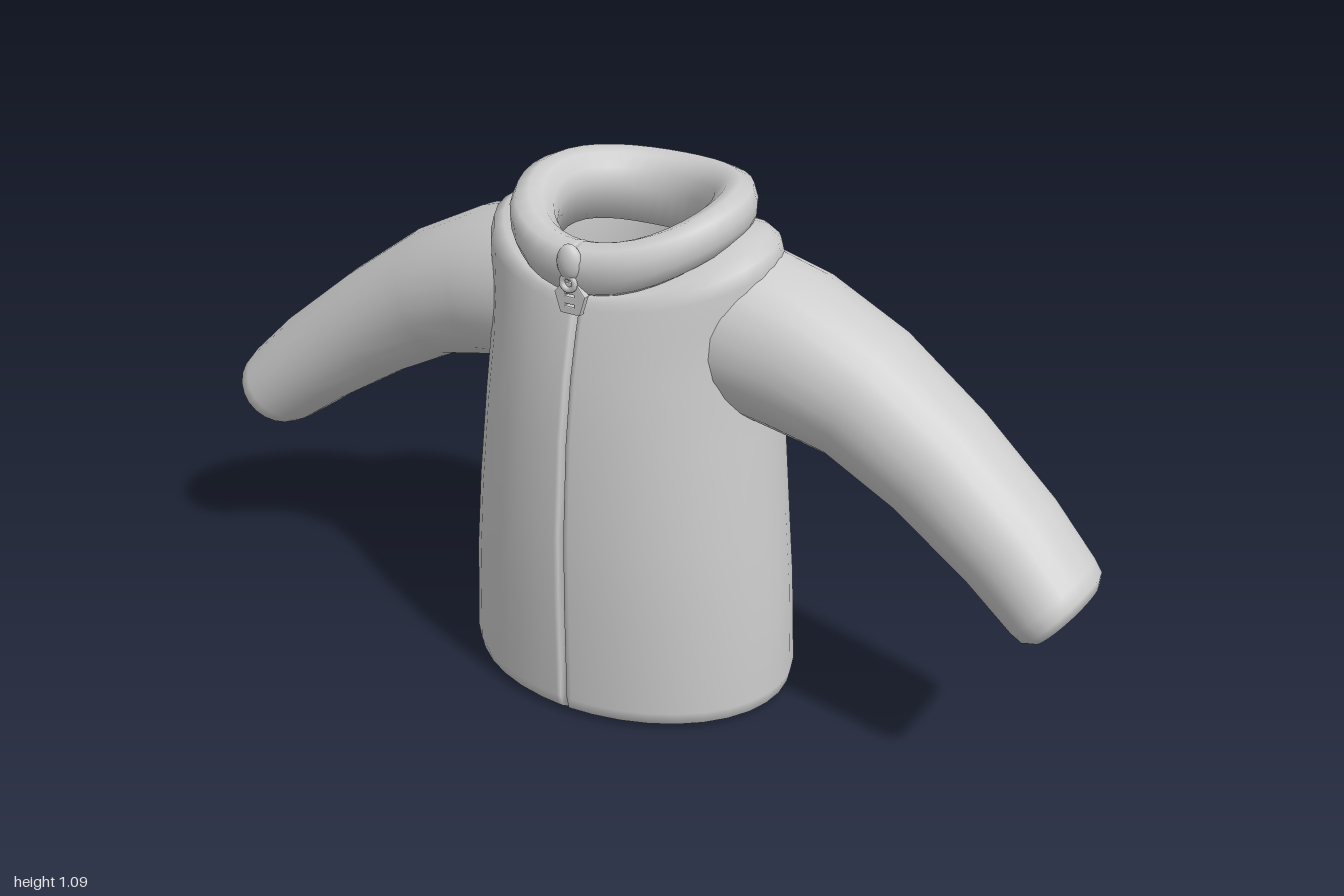
import * as THREE from 'three';

const material = new THREE.MeshStandardMaterial({ color: 0xcccccc, side: THREE.DoubleSide });

function addMesh(parent, name, geometry, x = 0, y = 0, z = 0) {
  const mesh = new THREE.Mesh(geometry, material);
  mesh.name = name;
  mesh.position.set(x, y, z);
  parent.add(mesh);
  return mesh;
}

// Skins a list of rings (arrays of [x, y, z]); closed joins last ring to first.
function loft(rings, closed = false) {
  const n = rings[0].length;
  const index = [];
  const last = closed ? rings.length : rings.length - 1;
  for (let i = 0; i < last; i++) {
    const k = (i + 1) % rings.length;
    for (let j = 0; j < n; j++) {
      const m = (j + 1) % n;
      const a = i * n + j, b = i * n + m, c = k * n + m, d = k * n + j;
      index.push(a, b, c, a, c, d);
    }
  }
  const geometry = new THREE.BufferGeometry();
  geometry.setAttribute('position', new THREE.Float32BufferAttribute(rings.flat(2), 3));
  geometry.setIndex(index);
  geometry.computeVertexNormals();
  return geometry;
}

// Angles round the torso, with extra ones for the zip groove at the front.
const torsoAngles = [0, 0.02, 0.05];
for (let i = 1; i < 36; i++) torsoAngles.push((i / 36) * Math.PI * 2);
torsoAngles.push(Math.PI * 2 - 0.05, Math.PI * 2 - 0.02);

// Ring with its own half width, front and back depth, and front/side/back heights.
function torsoRing([rx, zFront, zBack, yFront, ySide = yFront, yBack = yFront, groove = 0]) {
  return torsoAngles.map((angle, j) => {
    const s = Math.cos(angle);
    const y = ySide + (s * (yFront - yBack)) / 2 + s * s * ((yFront + yBack) / 2 - ySide);
    const z = s * (s > 0 ? zFront : zBack) - (j === 0 ? groove : 0);
    return [rx * Math.sin(angle), y, z];
  });
}

// Sleeve ring: centre, half height, half depth, tilt, and saddle depth.
function sleeveRing([cx, cy, cz, h, rz, tilt, saddle = 0], side) {
  const ring = [];
  for (let j = 0; j < 24; j++) {
    const angle = (side * j * Math.PI * 2) / 24;
    const u = h * Math.cos(angle), v = Math.sin(angle);
    ring.push([
      side * (cx + u * Math.sin(tilt) - saddle * v * v),
      cy + u * Math.cos(tilt),
      cz + rz * v,
    ]);
  }
  return ring;
}

export function createModel() {
  const jacket = new THREE.Group();
  jacket.name = 'jacket';
  const g = 0.014;

  // Hollow body: hem, outside up to the neck, then down the lining
  const body = [
    [0.27, 0.20, 0.20, 0.006],
    [0.338, 0.255, 0.26, 0, 0, 0, g],
    [0.354, 0.273, 0.275, 0.012, 0.012, 0.012, g],
    [0.36, 0.28, 0.281, 0.04, 0.04, 0.04, g],
    [0.35, 0.283, 0.274, 0.25, 0.25, 0.25, g],
    [0.335, 0.281, 0.27, 0.42, 0.42, 0.42, g],
    [0.315, 0.266, 0.28, 0.62, 0.62, 0.62, g],
    [0.302, 0.246, 0.274, 0.75, 0.76, 0.75, g],
    [0.303, 0.225, 0.255, 0.84, 0.89, 0.86, g],
    [0.31, 0.212, 0.236, 0.885, 0.955, 0.92, g],
    [0.302, 0.207, 0.225, 0.9, 0.988, 0.945, g],
    [0.278, 0.2, 0.215, 0.91, 1.003, 0.96, g],
    [0.22, 0.17, 0.19, 0.92, 1.01, 0.97],
    [0.165, 0.155, 0.155, 0.92, 1.0, 0.97],
    [0.2, 0.16, 0.18, 0.8],
    [0.25, 0.2, 0.2, 0.5],
  ];
  addMesh(jacket, 'body', loft(body.map(torsoRing), true));

  // Padded collar, dipping at the front
  const collar = [
    [0.215, 0.19, 0.208, 0.905, 0.99, 0.95],
    [0.234, 0.222, 0.223, 0.92, 1.0, 0.963, 0.008],
    [0.242, 0.237, 0.231, 0.95, 1.022, 0.985, 0.01],
    [0.243, 0.24, 0.235, 0.985, 1.045, 1.025, 0.01],
    [0.234, 0.225, 0.226, 1.009, 1.07, 1.062, 0.01],
    [0.208, 0.195, 0.202, 1.016, 1.081, 1.074, 0.008],
    [0.182, 0.173, 0.175, 1.008, 1.073, 1.066],
    [0.158, 0.152, 0.152, 0.985, 1.05, 1.04],
    [0.15, 0.145, 0.145, 0.95, 1.02, 1.0],
    [0.155, 0.147, 0.147, 0.9, 0.95, 0.93],
  ];
  addMesh(jacket, 'collar', loft(collar.map(torsoRing), true));

  // Sleeves: armhole to cuff, then back up the lining
  const sleeve = [
    [0.272, 0.81, -0.03, 0.165, 0.17, 0, 0.06],
    [0.36, 0.785, -0.03, 0.16, 0.16, 0.15],
    [0.5, 0.73, -0.032, 0.138, 0.147, 0.4],
    [0.66, 0.63, -0.025, 0.122, 0.134, 0.58],
    [0.82, 0.515, -0.005, 0.109, 0.125, 0.66],
    [0.915, 0.435, 0.012, 0.098, 0.12, 0.7],
    [0.936, 0.418, 0.016, 0.092, 0.115, 0.7],
    [0.948, 0.406, 0.017, 0.072, 0.097, 0.7],
    [0.942, 0.411, 0.017, 0.053, 0.06, 0.7],
    [0.85, 0.49, 0, 0.06, 0.068, 0.66],
    [0.6, 0.67, -0.025, 0.08, 0.09, 0.5],
    [0.29, 0.81, -0.03, 0.1, 0.1, 0],
  ];
  for (const [name, side] of [['leftSleeve', 1], ['rightSleeve', -1]]) {
    addMesh(jacket, name, loft(sleeve.map((ring) => sleeveRing(ring, side))));
  }

  // Zip slider with its loop and hanging tab
  const zip = new THREE.Group();
  zip.name = 'zipPull';
  jacket.add(zip);
  addMesh(zip, 'slider', new THREE.SphereGeometry(1, 16, 12), 0, 0.985, 0.233)
    .scale.set(0.026, 0.036, 0.018);
  addMesh(zip, 'loop', new THREE.TorusGeometry(0.014, 0.006, 8, 16), 0, 0.945, 0.238);

  const tab = new THREE.Shape([
    [-0.014, 0.03], [-0.032, 0.008], [-0.02, -0.03], [0.02, -0.03], [0.032, 0.008], [0.014, 0.03],
  ].map(([x, y]) => new THREE.Vector2(x, y)));
  for (const y of [-0.014, 0.006]) {
    tab.holes.push(new THREE.Path([
      [-0.012, y - 0.004], [-0.012, y + 0.004], [0.012, y + 0.004], [0.012, y - 0.004],
    ].map(([px, py]) => new THREE.Vector2(px, py))));
  }
  addMesh(zip, 'tab', new THREE.ExtrudeGeometry(tab, {
    depth: 0.01, bevelThickness: 0.003, bevelSize: 0.002, bevelSegments: 2,
  }), 0, 0.912, 0.222);

  return jacket;
}
